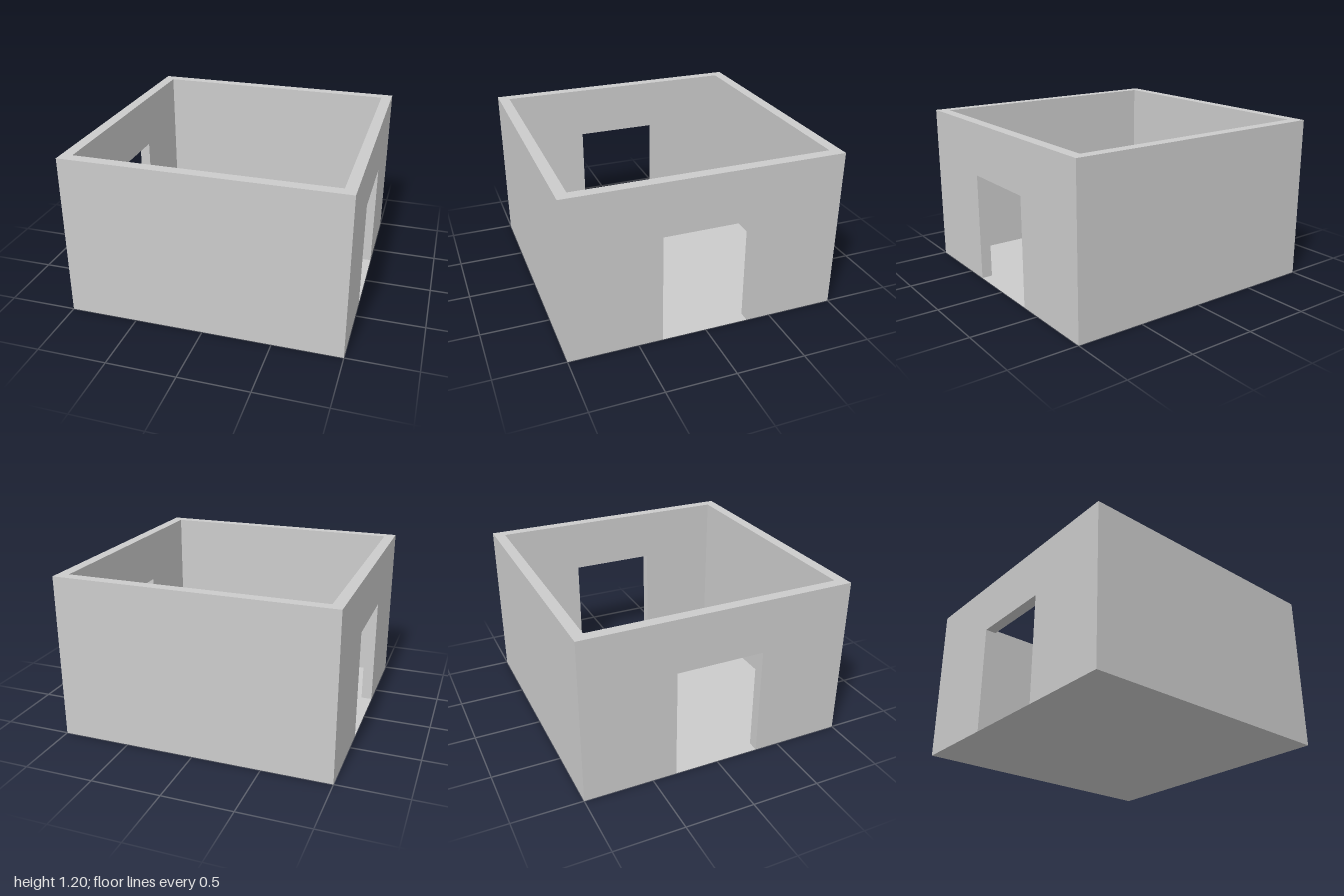
import * as THREE from 'three';

const SIZE = 2, HEIGHT = 1.2, WALL = 0.08;
const DOOR_WIDTH = 0.645, DOOR_HEIGHT = 0.81;

export function createModel() {
  const room = new THREE.Group();
  room.name = 'room';
  const material = new THREE.MeshStandardMaterial({ color: 0xcccccc, flatShading: true });

  const add = (name, geometry, mat = material) => {
    const mesh = new THREE.Mesh(geometry, mat);
    mesh.name = name;
    room.add(mesh);
    return mesh;
  };

  // Side wall outline with a doorway open down to the floor
  const h = SIZE / 2, d = DOOR_WIDTH / 2;
  const outline = new THREE.Shape([
    [-h, 0], [-d, 0], [-d, DOOR_HEIGHT], [d, DOOR_HEIGHT],
    [d, 0], [h, 0], [h, HEIGHT], [-h, HEIGHT],
  ].map(([x, y]) => new THREE.Vector2(x, y)));
  const doorWall = new THREE.ExtrudeGeometry(outline, { depth: WALL, bevelEnabled: false })
    .translate(0, 0, -WALL / 2)
    .rotateY(Math.PI / 2);

  // Solid wall that fits between the two side walls
  const solidWall = new THREE.BoxGeometry(SIZE - 2 * WALL, HEIGHT, WALL)
    .translate(0, HEIGHT / 2, 0);

  const offset = h - WALL / 2;
  add('leftDoorWall', doorWall).position.x = offset;
  add('rightDoorWall', doorWall).position.x = -offset;
  add('frontWall', solidWall).position.z = offset;
  add('backWall', solidWall).position.z = -offset;

  // Thin floor, seen from inside and from below
  const floorMaterial = material.clone();
  floorMaterial.side = THREE.DoubleSide;
  add('floor', new THREE.PlaneGeometry(SIZE, SIZE).rotateX(-Math.PI / 2), floorMaterial);

  return room;
}
